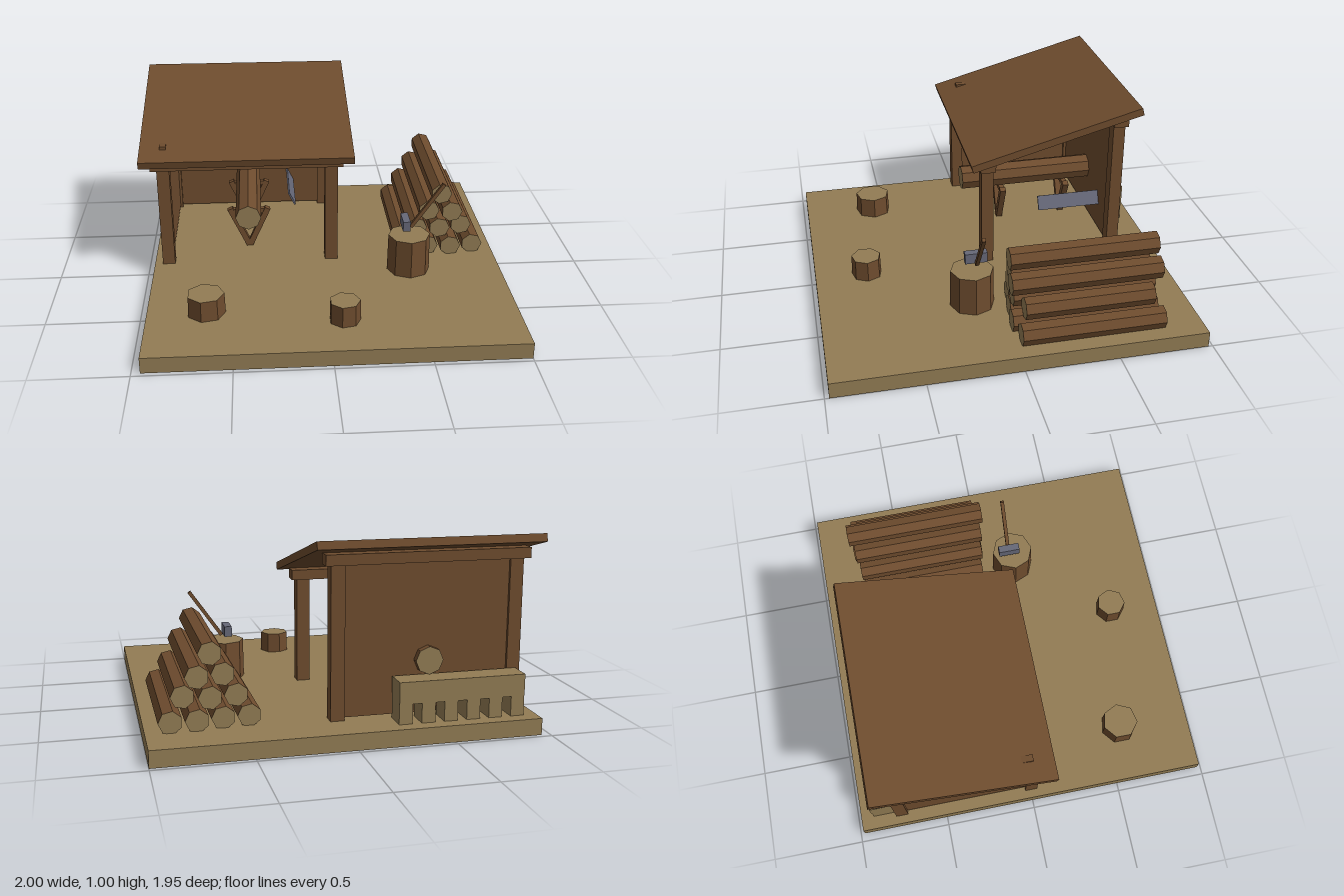
import * as THREE from 'three';

export function createModel() {
  const group = new THREE.Group();
  const makeMaterial = (name, color) => {
    const m = new THREE.MeshStandardMaterial({ color });
    m.name = name;
    return m;
  };
  const brown = makeMaterial('brownWood', 0x6e4c2e);
  const pale = makeMaterial('paleWood', 0x927c54);
  const grey = makeMaterial('greyMetal', 0x666878);

  const add = (name, geometry, material) => {
    const mesh = new THREE.Mesh(geometry, material);
    mesh.name = name;
    group.add(mesh);
    return mesh;
  };

  // Box given by its limits on each axis
  const box = (name, material, [x0, x1], [y0, y1], [z0, z1]) => {
    const mesh = add(name, new THREE.BoxGeometry(x1 - x0, y1 - y0, z1 - z0), material);
    mesh.position.set((x0 + x1) / 2, (y0 + y1) / 2, (z0 + z1) / 2);
    return mesh;
  };

  // Faceted round wood with pale cut ends, one corner towards +x
  const round = (name, rTop, rBottom, length, sides) => {
    const g = new THREE.CylinderGeometry(rTop, rBottom, length, sides).rotateY(Math.PI / 2).toNonIndexed();
    g.computeVertexNormals();
    return add(name, g, [brown, pale, pale]);
  };
  const stump = (name, x, z, r, top, sides) => {
    round(name, r * 0.97, r, top - 0.085, sides).position.set(x, (top + 0.085) / 2, z);
  };
  const log = (name, x, y, z0, z1, r, sides) => {
    const mesh = round(name, r, r, z1 - z0, sides);
    mesh.rotation.x = Math.PI / 2;
    mesh.position.set(x, y, (z0 + z1) / 2);
  };

  // Ground slab
  box('ground', pale, [-0.955, 1], [0, 0.087], [-0.977, 0.977]);

  // Shed posts, beams, walls
  for (const [x0, x1] of [[-0.91, -0.84], [0.018, 0.09]]) {
    box('frontPost', brown, [x0, x1], [0.085, 0.67], [-0.035, 0.033]);
    box('backPost', brown, [x0, x1], [0.085, 0.872], [-0.78, -0.713]);
  }
  box('frontBeam', brown, [-0.945, 0.118], [0.667, 0.722], [-0.043, 0.043]);
  box('backBeam', brown, [-0.945, 0.118], [0.87, 0.925], [-0.79, -0.707]);
  box('sideWall', brown, [-0.89, -0.855], [0.1, 0.792], [-0.73, -0.005]);
  box('backWall', brown, [-0.88, 0.06], [0.1, 0.872], [-0.765, -0.73]);

  // Sloping roof
  const roof = add('roof', new THREE.BoxGeometry(1.176, 0.042, 0.98), brown);
  roof.position.set(-0.412, 0.853, -0.373);
  roof.rotation.x = 0.263;

  // Split wood stacked behind the shed
  box('stackTop', pale, [-0.885, -0.225], [0.19, 0.303], [-0.908, -0.785]);
  for (let i = 0; i < 6; i++) {
    const x = -0.885 + i * 0.118;
    box('stackBillet', pale, [x, x + 0.07], [0.085, 0.19], [-0.905, -0.788]);
  }

  // Sawhorse: two pairs of leaning legs with a crossbar each
  for (const z of [-0.18, -0.57]) {
    for (const side of [-1, 1]) {
      const leg = add('sawhorseLeg', new THREE.BoxGeometry(0.033, 0.265, 0.035), brown);
      leg.position.set(-0.413 + side * 0.054, 0.205, z);
      leg.rotation.z = -side * 0.43;
    }
    box('sawhorseBar', brown, [-0.52, -0.306], [0.3, 0.325], [z - 0.015, z + 0.015]);
  }
  log('sawhorseLog', -0.415, 0.375, -0.802, 0.056, 0.072, 8);

  // Saw blade
  const saw = add('sawBlade', new THREE.BoxGeometry(0.01, 0.085, 0.38), grey);
  saw.position.set(-0.155, 0.29, -0.55);
  saw.rotation.z = 0.45;

  // Stumps
  stump('choppingBlock', 0.48, 0.168, 0.12, 0.302, 8);
  stump('leftSeatStump', -0.643, 0.573, 0.102, 0.202, 7);
  stump('rightSeatStump', 0.076, 0.69, 0.084, 0.202, 7);

  // Axe
  box('axeHead', grey, [0.44, 0.481], [0.335, 0.393], [0.083, 0.203]);
  const handle = add('axeHandle', new THREE.BoxGeometry(0.02, 0.31, 0.02), brown);
  handle.position.set(0.58, 0.463, 0.143);
  handle.rotation.z = -0.61;

  // Log pile: rows of 4, 3, 2 and 1, each log with its z limits
  const rows = [
    [[-0.735, -0.02], [-0.745, 0], [-0.765, 0.015], [-0.765, -0.005]],
    [[-0.74, -0.01], [-0.765, 0], [-0.72, -0.035]],
    [[-0.75, 0], [-0.78, 0.022]],
    [[-0.772, 0.018]],
  ];
  rows.forEach((row, r) => row.forEach(([z0, z1], i) => {
    log('pileLog', 0.487 + r * 0.065 + i * 0.13, 0.138 + r * 0.111, z0, z1, 0.06, 7);
  }));

  return group;
}
